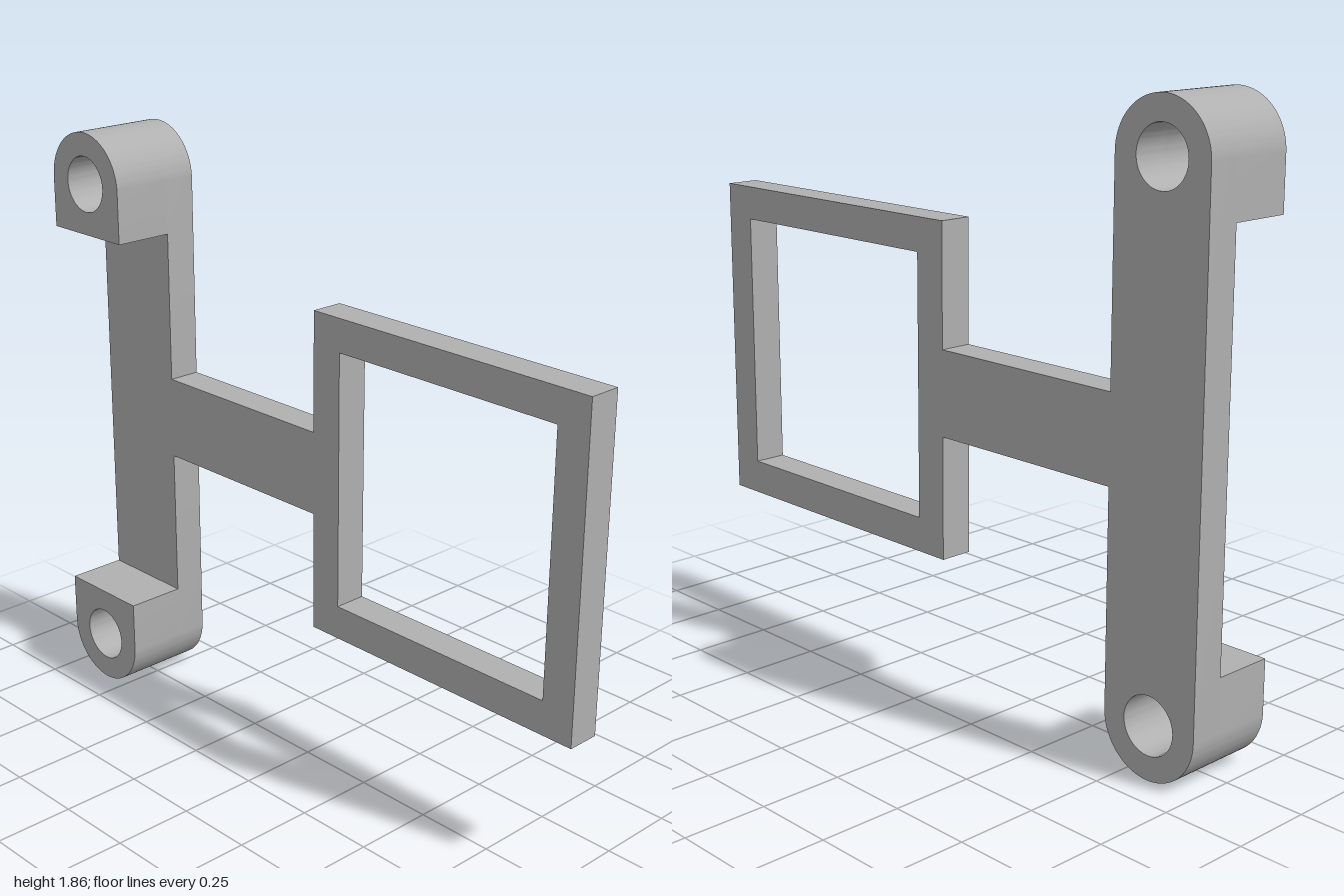
import * as THREE from 'three';
import { toCreasedNormals } from 'three/addons/utils/BufferGeometryUtils.js';

const BACK = -0.147, PLATE_FRONT = -0.043, FRONT = 0.147;
const BAR_X = -0.84, BAR_R = 0.16, HOLE_R = 0.087;
const LOW_Y = 0.16, HIGH_Y = 1.7;

const metal = new THREE.MeshStandardMaterial({ color: 0xb0b0b0 });
metal.name = 'plain grey';

function boltHole(y) {
  return new THREE.Path().absarc(BAR_X, y, HOLE_R, 0, Math.PI * 2, true);
}

// Extrude a shape between two z planes, keeping round walls smooth
function slab(name, shape, z0, z1) {
  const geo = new THREE.ExtrudeGeometry(shape, { depth: z1 - z0, bevelEnabled: false, curveSegments: 32 });
  geo.translate(0, 0, z0);
  const mesh = new THREE.Mesh(toCreasedNormals(geo, Math.PI / 6), metal);
  mesh.name = name;
  return mesh;
}

// Round-ended bar, arm and square frame as one flat plate
function backPlate() {
  const right = BAR_X + BAR_R, left = BAR_X - BAR_R;
  const s = new THREE.Shape();
  s.moveTo(left, LOW_Y);
  s.absarc(BAR_X, LOW_Y, BAR_R, Math.PI, Math.PI * 2, false);
  s.lineTo(right, 0.8);
  s.lineTo(-0.02, 0.8);
  s.lineTo(-0.02, 0.42);
  s.lineTo(1, 0.42);
  s.lineTo(1, 1.44);
  s.lineTo(-0.02, 1.44);
  s.lineTo(-0.02, 1.063);
  s.lineTo(right, 1.063);
  s.lineTo(right, HIGH_Y);
  s.absarc(BAR_X, HIGH_Y, BAR_R, 0, Math.PI, false);
  s.closePath();

  const opening = new THREE.Path();
  opening.moveTo(0.087, 0.527);
  opening.lineTo(0.087, 1.336);
  opening.lineTo(0.893, 1.336);
  opening.lineTo(0.893, 0.527);
  opening.closePath();
  s.holes.push(opening, boltHole(LOW_Y), boltHole(HIGH_Y));
  return slab('backPlate', s, BACK, PLATE_FRONT);
}

// Standoff with a round outer end and a flat inner edge
function boss(name, y, up) {
  const s = new THREE.Shape();
  const flat = y - up * BAR_R;
  s.moveTo(BAR_X - up * BAR_R, flat);
  s.lineTo(BAR_X + up * BAR_R, flat);
  const start = up > 0 ? 0 : Math.PI;
  s.absarc(BAR_X, y, BAR_R, start, start + Math.PI, false);
  s.closePath();
  s.holes.push(boltHole(y));
  return slab(name, s, PLATE_FRONT, FRONT);
}

export function createModel() {
  const group = new THREE.Group();
  group.name = 'mountingBracket';
  group.add(backPlate(), boss('upperBoss', HIGH_Y, 1), boss('lowerBoss', LOW_Y, -1));
  return group;
}
